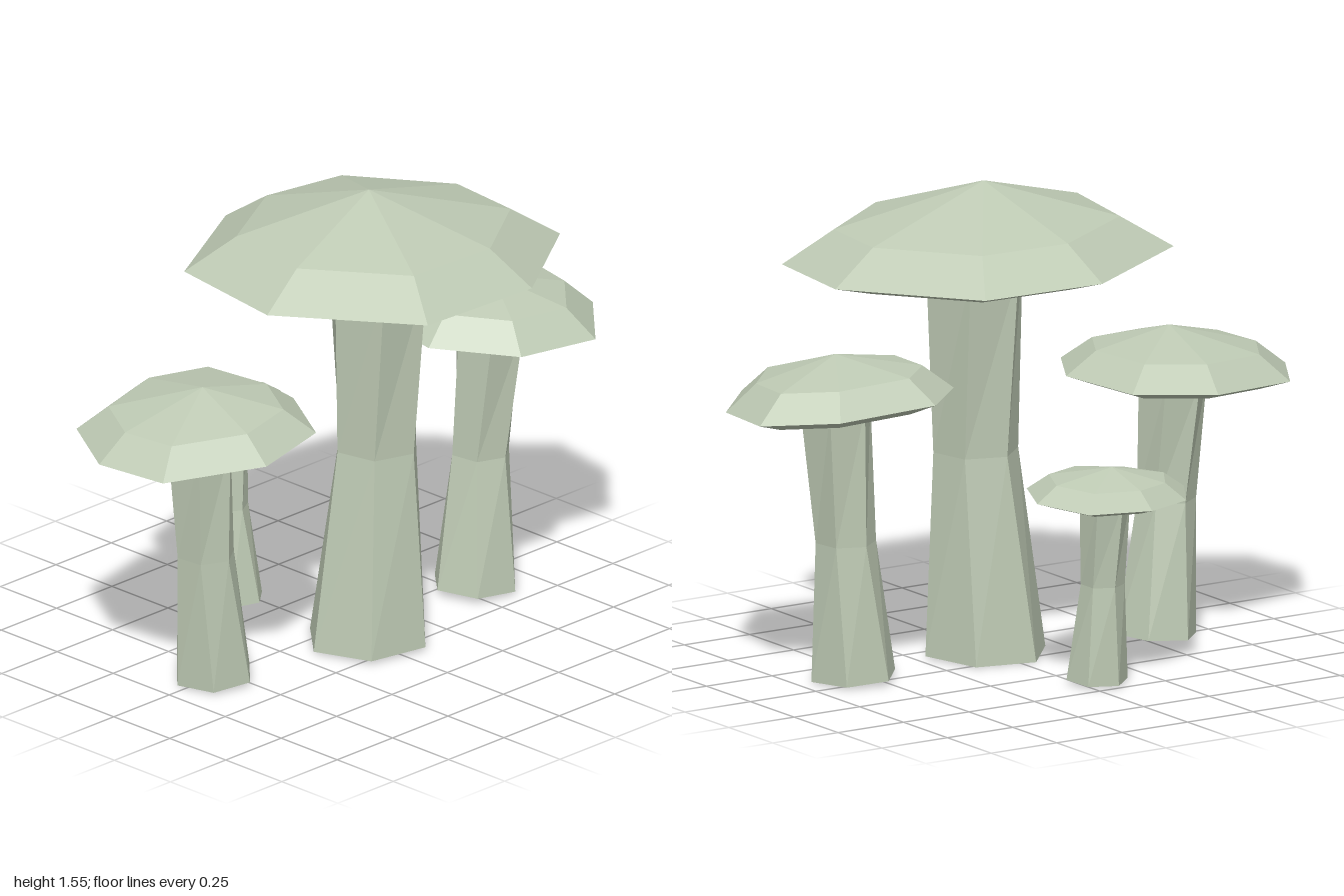
import * as THREE from 'three';

const paleGreen = new THREE.MeshStandardMaterial({ color: 0xbecab4, flatShading: true });
paleGreen.name = 'paleGreen';

// Skin a stack of equal-sized rings, listed from the underside centre to the top
function loft(rings, name) {
  const pos = [];
  const tri = (a, b, c) => {
    const area = new THREE.Triangle(a, b, c).getArea();
    if (area > 1e-8) for (const p of [a, b, c]) pos.push(p.x, p.y, p.z);
  };
  const n = rings[0].length;
  for (let r = 0; r < rings.length - 1; r++) {
    for (let i = 0; i < n; i++) {
      const j = (i + 1) % n, lo = rings[r], hi = rings[r + 1];
      tri(lo[i], hi[i], lo[j]);
      tri(lo[j], hi[i], hi[j]);
    }
  }
  const geo = new THREE.BufferGeometry();
  geo.setAttribute('position', new THREE.Float32BufferAttribute(pos, 3));
  geo.computeVertexNormals();
  const mesh = new THREE.Mesh(geo, paleGreen);
  mesh.name = name;
  return mesh;
}

const pole = (n, x, y, z) => Array.from({ length: n }, () => new THREE.Vector3(x, y, z));

// Faceted cap: irregular rim, an inset shoulder above it and an inset ring below
function makeCap({ rim, apex, rimY, tilt, shoulder, under }) {
  const n = rim.length;
  const cx = rim.reduce((s, p) => s + p[0], 0) / n;
  const cz = rim.reduce((s, p) => s + p[1], 0) / n;
  const ring = (scale, dy) => rim.map(([x, z]) => {
    const dx = (x - cx) * scale, dz = (z - cz) * scale;
    return new THREE.Vector3(cx + dx, rimY + dy + dx * tilt[0] + dz * tilt[1], cz + dz);
  });
  return loft([
    pole(n, cx, rimY - under + 0.005, cz),
    ring(0.74, -under), ring(1, 0), ring(0.73, shoulder),
    pole(n, ...apex),
  ], 'cap');
}

// Six-sided stem with a pinched, slightly twisted waist; levels are [x, y, z, radius, turn]
function makeStem({ levels, lean }) {
  const rings = levels.map(([x, y, z, r, turn], k) => Array.from({ length: 6 }, (_, i) => {
    const a = THREE.MathUtils.degToRad(turn + i * 60);
    const dx = r * Math.cos(a), dz = r * Math.sin(a);
    const dy = k === 0 ? dx * lean[0] + dz * lean[1] : 0;
    return new THREE.Vector3(x + dx, y + dy, z + dz);
  }));
  const [x, y, z] = levels[0], top = levels[levels.length - 1];
  return loft([pole(6, x, y, z), ...rings, pole(6, top[0], top[1], top[2])], 'stem');
}

const mushrooms = {
  largeMushroom: {
    cap: {
      rim: [[0.655, 0.03], [0.615, 0.395], [0.215, 0.665], [-0.255, 0.665],
        [-0.565, 0.255], [-0.49, -0.19], [-0.05, -0.44], [0.36, -0.385]],
      apex: [0.025, 1.55, 0.125], rimY: 1.315, tilt: [-0.028, 0.005], shoulder: 0.105, under: 0.045,
    },
    stem: {
      levels: [[0.015, 0.01, 0.13, 0.205, 12], [0.045, 0.67, 0.14, 0.14, 18], [0.05, 1.28, 0.14, 0.17, 8]],
      lean: [0, 0.03],
    },
  },
  rightMushroom: {
    cap: {
      rim: [[-0.24, 0.05], [-0.38, 0.29], [-0.665, 0.35], [-0.97, 0.19],
        [-1, -0.065], [-0.855, -0.31], [-0.53, -0.385], [-0.28, -0.27]],
      apex: [-0.6, 1.02, 0], rimY: 0.872, tilt: [0.046, 0], shoulder: 0.078, under: 0.033,
    },
    stem: {
      levels: [[-0.555, 0.016, 0.005, 0.133, 15], [-0.6, 0.45, 0.015, 0.095, 25], [-0.615, 0.85, 0, 0.115, 15]],
      lean: [0.06, 0],
    },
  },
  leftMushroom: {
    cap: {
      rim: [[1, -0.055], [0.96, 0.2], [0.75, 0.42], [0.45, 0.385],
        [0.26, 0.16], [0.29, -0.1], [0.47, -0.265], [0.81, -0.23]],
      apex: [0.615, 1.07, 0.09], rimY: 0.928, tilt: [-0.054, -0.05], shoulder: 0.083, under: 0.034,
    },
    stem: {
      levels: [[0.56, 0.016, 0.07, 0.143, 12], [0.595, 0.46, 0.06, 0.098, 22], [0.625, 0.91, 0.075, 0.12, 12]],
      lean: [-0.06, 0],
    },
  },
  backMushroom: {
    cap: {
      rim: [[0.205, -0.45], [0.125, -0.27], [-0.06, -0.2], [-0.25, -0.3],
        [-0.355, -0.45], [-0.26, -0.605], [-0.085, -0.672], [0.13, -0.635]],
      apex: [-0.07, 0.72, -0.465], rimY: 0.625, tilt: [0.027, 0.04], shoulder: 0.052, under: 0.022,
    },
    stem: {
      levels: [[-0.06, 0.015, -0.395, 0.1, 20], [-0.065, 0.33, -0.42, 0.07, 30], [-0.06, 0.61, -0.44, 0.083, 20]],
      lean: [0, 0.06],
    },
  },
};

export function createModel() {
  const model = new THREE.Group();
  model.name = 'mushroomCluster';
  for (const [name, { cap, stem }] of Object.entries(mushrooms)) {
    const group = new THREE.Group();
    group.name = name;
    group.add(makeStem(stem), makeCap(cap));
    model.add(group);
  }
  return model;
}
